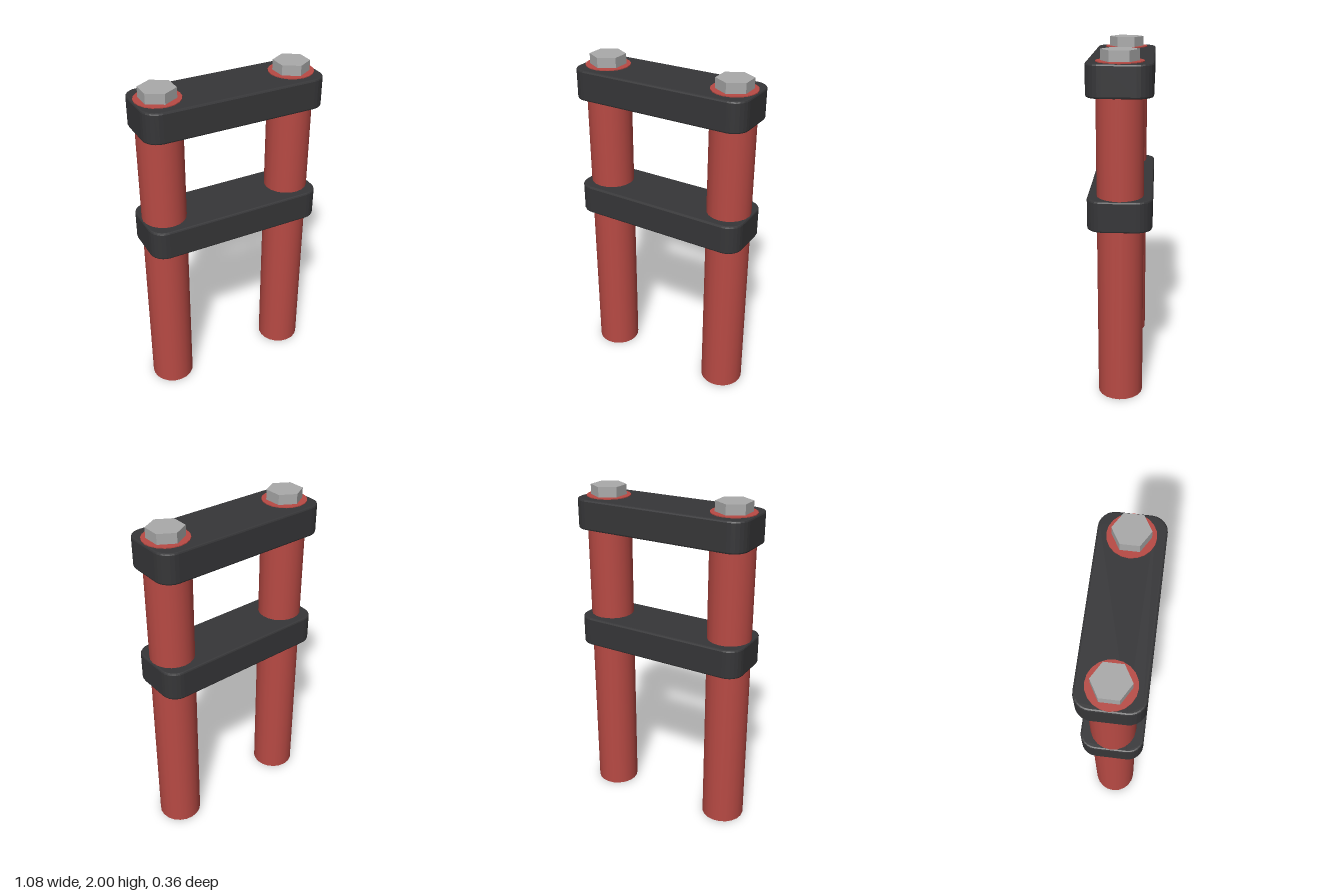
import * as THREE from 'three';

const tubeX = 0.405;
const red = new THREE.MeshStandardMaterial({ color: 0xb84a44 });
const black = new THREE.MeshStandardMaterial({ color: 0x363638 });
const steel = new THREE.MeshStandardMaterial({ color: 0xaaaaaa, flatShading: true });

// Clamp plate: rounded rectangle with a small bevel, lying flat
function clampGeometry(width, depth, height, radius, bevel) {
  const x = width / 2 - bevel, z = depth / 2 - bevel, r = radius - bevel;
  const shape = new THREE.Shape();
  shape.moveTo(-x + r, -z);
  shape.lineTo(x - r, -z);
  shape.absarc(x - r, -z + r, r, -Math.PI / 2, 0);
  shape.absarc(x - r, z - r, r, 0, Math.PI / 2);
  shape.absarc(-x + r, z - r, r, Math.PI / 2, Math.PI);
  shape.absarc(-x + r, -z + r, r, Math.PI, Math.PI * 1.5);
  const geometry = new THREE.ExtrudeGeometry(shape, {
    depth: height - 2 * bevel, curveSegments: 3,
    bevelEnabled: true, bevelSize: bevel, bevelThickness: bevel, bevelSegments: 2,
  });
  return geometry.rotateX(-Math.PI / 2).translate(0, bevel, 0);
}

export function createModel() {
  const model = new THREE.Group();
  model.name = 'forkAssembly';
  const add = (name, geometry, material, x, y) => {
    const mesh = new THREE.Mesh(geometry, material);
    mesh.name = name;
    mesh.position.set(x, y, 0);
    model.add(mesh);
  };

  // Upper and lower clamps
  const clamp = clampGeometry(1.083, 0.36, 0.177, 0.09, 0.01);
  add('lowerClamp', clamp, black, 0, 1.035);
  add('upperClamp', clamp, black, 0, 1.76);

  // Tubes run through both clamps, each topped by a hexagonal bolt
  const tubeHeight = 1.942;
  const tube = new THREE.CylinderGeometry(0.13, 0.13, tubeHeight, 20);
  const bolt = new THREE.CylinderGeometry(0.104, 0.104, 0.07, 6);
  for (const [side, sign] of [['left', 1], ['right', -1]]) {
    add(side + 'Tube', tube, red, sign * tubeX, tubeHeight / 2);
    add(side + 'Bolt', bolt, steel, sign * tubeX, 1.965);
  }
  return model;
}
